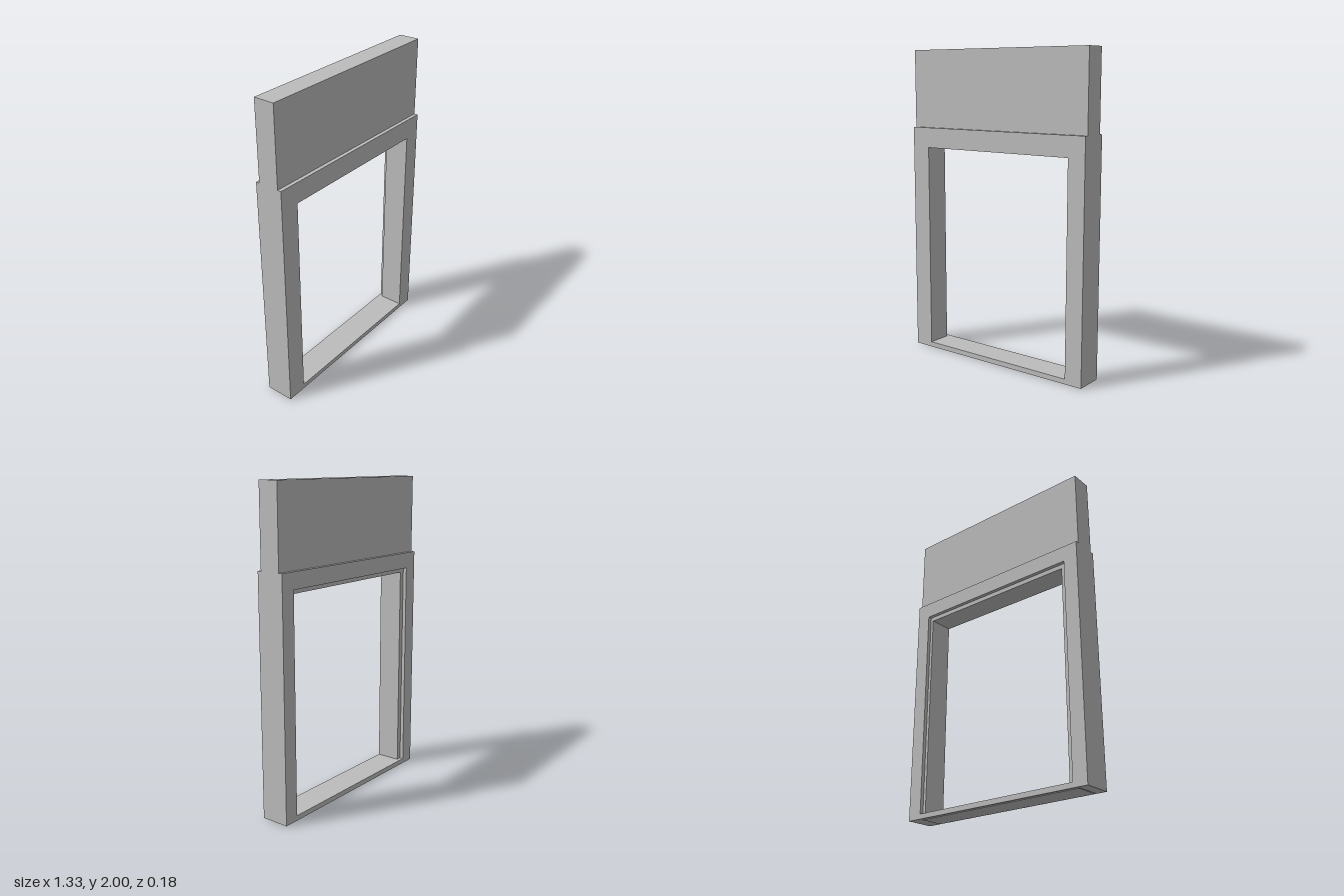
import * as THREE from 'three';

const grey = new THREE.MeshStandardMaterial({ color: 0xbcbcbc });
grey.name = 'plain grey';

// Frame layer: a rectangle with a rectangular opening, extruded from z0 to z1
function frameLayer(name, outer, hole, z0, z1) {
  const corners = ([x0, y0, x1, y1]) =>
    [[x0, y0], [x1, y0], [x1, y1], [x0, y1]].map(([x, y]) => new THREE.Vector2(x, y));
  const shape = new THREE.Shape(corners(outer));
  if (hole) shape.holes.push(new THREE.Path(corners(hole)));
  const geometry = new THREE.ExtrudeGeometry(shape, { depth: z1 - z0, bevelEnabled: false });
  geometry.translate(0, 0, z0);
  const mesh = new THREE.Mesh(geometry, grey);
  mesh.name = name;
  return mesh;
}

export function createModel() {
  const group = new THREE.Group();
  group.name = 'wallFrame';

  const W = 0.665, base = 0.004, shoulder = 1.5;
  const core = 0.067, face = 0.091; // half depths of the wall and of the trim
  const outer = [-W, base, W, shoulder];
  const opening = [-0.535, 0.036, 0.55, 1.37];
  const rebate = [-0.57, 0.036, 0.57, 1.398];

  // Main frame, flush with the front trim
  group.add(frameLayer('mainFrame', outer, opening, -core, face));
  // Back trim has a wider opening, leaving a shallow rebate round the top and sides
  group.add(frameLayer('backTrim', outer, rebate, -face, -core));
  // Thinner solid panel above the frame
  group.add(frameLayer('upperPanel', [-W, shoulder, W, 2], null, -core, core));

  // Thin plate under the sill
  const foot = new THREE.Mesh(new THREE.BoxGeometry(1.16, base, 0.155), grey);
  foot.name = 'solePlate';
  foot.position.set(-0.02, base / 2, 0);
  group.add(foot);

  return group;
}
